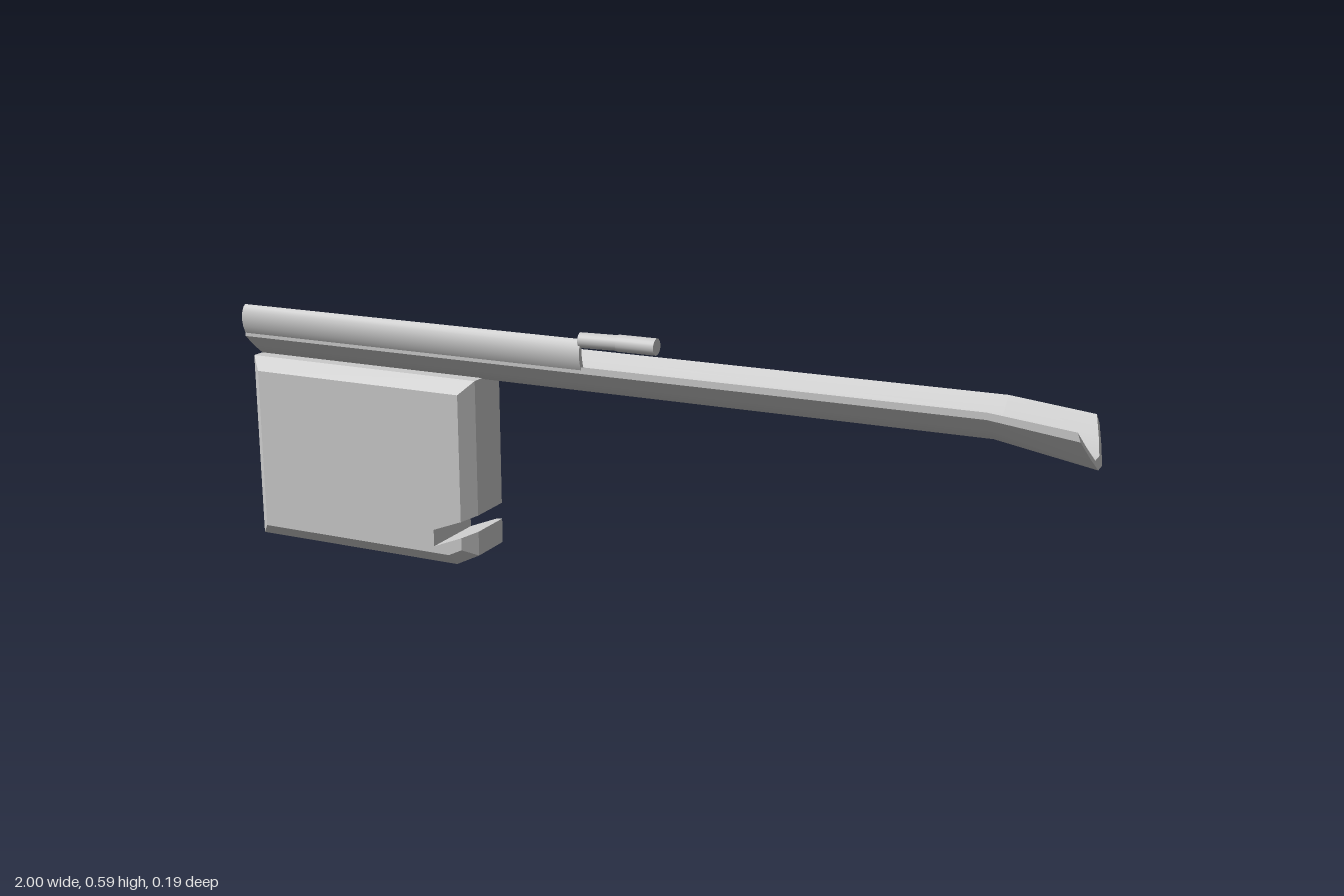
import * as THREE from 'three';
import { toCreasedNormals } from 'three/addons/utils/BufferGeometryUtils.js';

const material = new THREE.MeshStandardMaterial({ color: 0xcccccc, side: THREE.DoubleSide });

// Skins matching rings of points and caps both ends; contour is the flat 2D outline.
function loft(rings, contour, crease) {
  let flat = contour.map(([u, v]) => new THREE.Vector2(u, v));
  if (THREE.ShapeUtils.area(flat) < 0) {
    flat = flat.reverse();
    rings = rings.map(r => [...r].reverse());
  }
  const n = flat.length, index = [];
  for (let k = 0; k < rings.length - 1; k++) {
    for (let i = 0; i < n; i++) {
      const j = (i + 1) % n, a = k * n + i, b = k * n + j;
      index.push(a, b, b + n, a, b + n, a + n);
    }
  }
  const last = (rings.length - 1) * n;
  for (const [a, b, c] of THREE.ShapeUtils.triangulateShape(flat, [])) {
    index.push(c, b, a, last + a, last + b, last + c);
  }
  const geometry = new THREE.BufferGeometry();
  geometry.setAttribute('position', new THREE.Float32BufferAttribute(rings.flat(2), 3));
  geometry.setIndex(index);
  return toCreasedNormals(geometry, crease);
}

// Round rod between two points
function rod(from, to, radius) {
  const a = new THREE.Vector3(...from), b = new THREE.Vector3(...to);
  const dir = b.clone().sub(a);
  const geometry = new THREE.CylinderGeometry(radius, radius, dir.length(), 24);
  geometry.applyQuaternion(new THREE.Quaternion().setFromUnitVectors(
    new THREE.Vector3(0, 1, 0), dir.normalize()));
  const mid = a.add(b).multiplyScalar(0.5);
  return geometry.translate(mid.x, mid.y, mid.z);
}

export function createModel() {
  const group = new THREE.Group();
  const add = (name, geometry) => {
    const mesh = new THREE.Mesh(geometry, material);
    mesh.name = name;
    group.add(mesh);
    return mesh;
  };

  // Bevelled box with a slanted slot through its lower corner
  const full = [[-1, 0], [-0.45, 0], [-0.39, 0.03], [-0.39, 0.088], [-0.494, 0.046],
    [-0.494, 0.086], [-0.39, 0.127], [-0.39, 0.445], [-1, 0.445]];
  const inset = [[-0.97, 0.03], [-0.455, 0.03], [-0.42, 0.047], [-0.42, 0.076], [-0.494, 0.046],
    [-0.494, 0.086], [-0.42, 0.115], [-0.42, 0.415], [-0.97, 0.415]];
  const level = (outline, z) => outline.map(([x, y]) => [x, y, z]);
  add('box', loft([level(inset, -0.081), level(full, -0.052), level(full, 0.057),
    level(inset, 0.085)], full, 0.1));

  // Trough: thin channel section [z, y], bent down at the spout
  const upper = [[0.085, 0.512], [0.053, 0.482], [0.021, 0.457], [-0.015, 0.457],
    [-0.05, 0.481], [-0.082, 0.51]];
  const section = [...upper, ...upper.map(([z, y]) => [z, y - 0.015]).reverse()];
  const rise = y => (y - 0.443) / 0.067;
  const straight = x => section.map(([z, y]) => [x, y, z]);
  const spout = section.map(([z, y]) =>
    [1 - 0.03 * rise(y), y - 0.038 + 0.018 * rise(y), z]);
  add('trough', loft([straight(-1), straight(0.79), spout],
    section.map(([z, y]) => [y, z]), 0.7));

  // Curled wall along the front rim of the trough
  const curl = [[0.07, 0.484], [0.085, 0.505], [0.092, 0.522], [0.095, 0.54], [0.092, 0.557],
    [0.086, 0.568], [0.08, 0.573], [0.079, 0.565], [0.082, 0.55], [0.081, 0.532],
    [0.076, 0.513], [0.066, 0.494]];
  add('curledWall', loft([-1, -0.105].map(x => curl.map(([z, y]) => [x, y, z])),
    curl.map(([z, y]) => [y, z]), 0.7));

  // Two-piece rod at the end of the curled wall
  add('rodInner', rod([-0.11, 0.57, 0.077], [-0.02, 0.571, 0.073], 0.017));
  add('rodOuter', rod([-0.02, 0.571, 0.073], [0.07, 0.571, 0.073], 0.0185));

  // Small knob on the back face
  add('knob', new THREE.SphereGeometry(0.013, 20, 14)).position.set(-0.92, 0.09, -0.081);

  return group;
}
